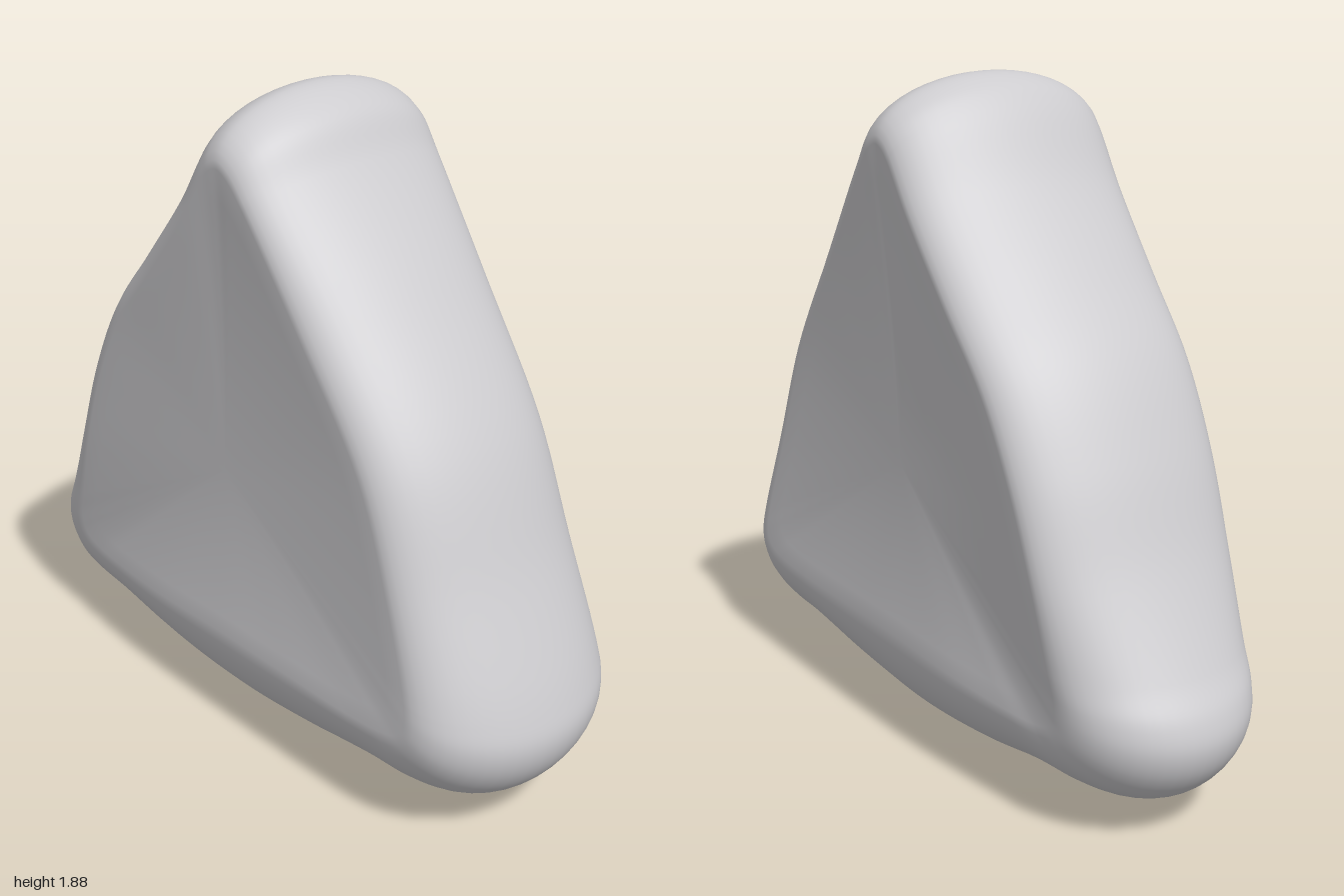
import * as THREE from 'three';

// Stations around the rim: outline x, y (at z = 0), then face crease x, y, z
const STATIONS = [
  [0.04, 1.88, 0.04, 1.71, 0.345],
  [-0.04, 1.857, 0.01, 1.7, 0.345],
  [-0.1, 1.8, -0.02, 1.67, 0.344],
  [-0.22, 1.61, -0.11, 1.54, 0.341],
  [-0.4, 1.39, -0.28, 1.33, 0.334],
  [-0.565, 1.19, -0.45, 1.13, 0.326],
  [-0.69, 0.96, -0.57, 0.91, 0.319],
  [-0.8, 0.7, -0.66, 0.67, 0.31],
  [-0.93, 0.45, -0.72, 0.46, 0.298],
  [-0.985, 0.355, -0.74, 0.39, 0.293],
  [-1, 0.28, -0.74, 0.35, 0.291],
  [-0.975, 0.2, -0.73, 0.325, 0.29],
  [-0.9, 0.12, -0.7, 0.305, 0.291],
  [-0.78, 0.085, -0.65, 0.295, 0.295],
  [-0.58, 0.073, -0.53, 0.295, 0.31],
  [-0.3, 0.026, -0.29, 0.305, 0.332],
  [0, 0, 0, 0.32, 0.342],
  [0.3, 0.026, 0.29, 0.32, 0.344],
  [0.58, 0.073, 0.55, 0.32, 0.344],
  [0.77, 0.085, 0.68, 0.33, 0.344],
  [0.9, 0.13, 0.74, 0.345, 0.343],
  [0.975, 0.215, 0.77, 0.37, 0.342],
  [1, 0.305, 0.775, 0.405, 0.34],
  [0.975, 0.41, 0.765, 0.46, 0.336],
  [0.84, 0.725, 0.68, 0.71, 0.322],
  [0.7, 1.06, 0.56, 1.01, 0.316],
  [0.465, 1.4, 0.35, 1.32, 0.325],
  [0.23, 1.705, 0.14, 1.62, 0.341],
  [0.15, 1.825, 0.08, 1.69, 0.345],
];
const AROUND = STATIONS.length * 7, FACE_ROWS = 10, RIM_ROWS = 12;
const HALF = FACE_ROWS + RIM_ROWS, ROWS = HALF * 2;
const CENTRE = new THREE.Vector3(0, 0.82, 0.303);

const closedCurve = (points) => new THREE.CatmullRomCurve3(points, true);

// Half section from the face centre, over the crease, to the middle of the rim
function sectionPoint(row, outer, crease) {
  if (row <= FACE_ROWS) {
    const s = row / FACE_ROWS;
    const p = CENTRE.clone().lerp(crease, s);
    p.z = CENTRE.z + (crease.z - CENTRE.z) * s * s;
    return p;
  }
  if (row === HALF) return outer.clone();
  const angle = ((row - FACE_ROWS) / RIM_ROWS) * Math.PI / 2;
  const p = crease.clone().lerp(outer, Math.sin(angle));
  p.z = crease.z * Math.cos(angle);
  return p;
}

function pillowGeometry() {
  const outline = closedCurve(STATIONS.map(([x, y]) => new THREE.Vector3(x, y, 0)));
  const crease = closedCurve(STATIONS.map(([, , x, y, z]) => new THREE.Vector3(x, y, z)));

  // Front centre, rings from front to back, back centre
  const positions = [CENTRE.x, CENTRE.y, CENTRE.z];
  for (let r = 1; r < ROWS; r++) {
    const side = r > HALF ? -1 : 1;
    for (let i = 0; i < AROUND; i++) {
      const t = i / AROUND;
      const p = sectionPoint(Math.min(r, ROWS - r), outline.getPoint(t), crease.getPoint(t));
      positions.push(p.x, p.y, p.z * side);
    }
  }
  positions.push(CENTRE.x, CENTRE.y, -CENTRE.z);

  // Fans at both centres, quads between neighbouring rings
  const at = (r, i) => 1 + (r - 1) * AROUND + (i % AROUND);
  const last = positions.length / 3 - 1;
  const index = [];
  for (let i = 0; i < AROUND; i++) {
    index.push(0, at(1, i), at(1, i + 1));
    for (let r = 1; r < ROWS - 1; r++) {
      const a = at(r, i), b = at(r + 1, i), c = at(r + 1, i + 1), d = at(r, i + 1);
      index.push(a, b, c, a, c, d);
    }
    index.push(last, at(ROWS - 1, i + 1), at(ROWS - 1, i));
  }

  const geometry = new THREE.BufferGeometry();
  geometry.setAttribute('position', new THREE.Float32BufferAttribute(positions, 3));
  geometry.setIndex(index);
  geometry.computeVertexNormals();
  return geometry;
}

export function createModel() {
  const group = new THREE.Group();
  group.name = 'roundedTriangle';
  const grey = new THREE.MeshStandardMaterial({ color: 0xcccbce });
  grey.name = 'lightGrey';
  const body = new THREE.Mesh(pillowGeometry(), grey);
  body.name = 'body';
  group.add(body);
  return group;
}
